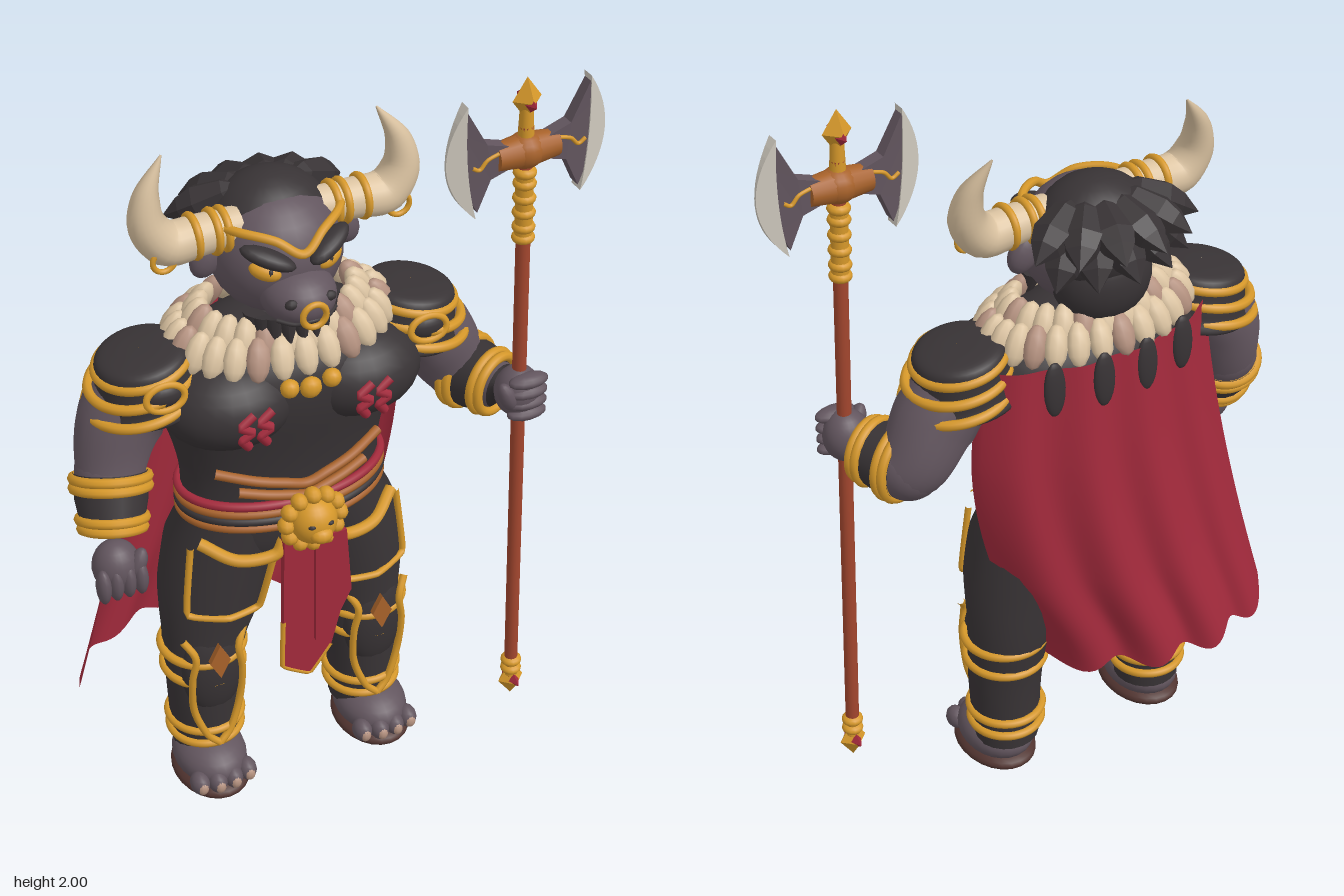
import * as THREE from 'three';
import { ParametricGeometry } from 'three/addons/geometries/ParametricGeometry.js';

const V = (a) => new THREE.Vector3(...a);
const UP = new THREE.Vector3(0, 1, 0);
const mat = (name, color, extra = {}) => Object.assign(new THREE.MeshStandardMaterial({ color, ...extra }), { name });

export function createModel() {
  const skin = mat('skin', 0x62555e), dark = mat('darkArmor', 0x383335), gold = mat('gold', 0xd6982a);
  const copper = mat('copper', 0xa8622a), red = mat('redCloth', 0xa32a3c, { side: THREE.DoubleSide });
  const cream = mat('cream', 0xdcc4a2), rose = mat('roseFur', 0xb4917f), wood = mat('shaft', 0xa2462e);
  const steel = mat('steel', 0xcfc9be), sole = mat('sole', 0x50332f);

  const root = new THREE.Group();
  const body = new THREE.Group();
  body.name = 'body';
  body.position.x = -0.1;
  root.add(body);
  let parent = body;

  const add = (name, geo, m, p = [0, 0, 0], r = [0, 0, 0]) => {
    const o = new THREE.Mesh(geo, m);
    o.name = name;
    o.position.set(...p);
    o.rotation.set(...r);
    parent.add(o);
    return o;
  };
  const ball = (name, m, p, s, r, n = 24) => {
    const o = add(name, new THREE.SphereGeometry(1, n, Math.ceil(n * 0.6)), m, p, r);
    o.scale.set(...s);
    return o;
  };
  const tube = (name, m, pts, r, closed = false, tension = 0.5) => add(name, new THREE.TubeGeometry(
    new THREE.CatmullRomCurve3(pts.map(V), closed, 'catmullrom', tension), pts.length * 8, r, 8, closed), m);
  // Tube whose radius follows a list of values along its path
  const sweep = (name, m, pts, radii, sides = 20) => {
    const c = new THREE.CatmullRomCurve3(pts.map(V)), n = 32;
    const g = new THREE.TubeGeometry(c, n, 1, sides), pos = g.attributes.position, v = new THREE.Vector3();
    for (let i = 0; i < pos.count; i++) {
      const u = Math.floor(i / (sides + 1)) / n, t = c.getUtoTmapping(u) * (radii.length - 1);
      const k = Math.min(Math.floor(t), radii.length - 2), o = c.getPointAt(u);
      v.fromBufferAttribute(pos, i).sub(o).multiplyScalar(THREE.MathUtils.lerp(radii[k], radii[k + 1], t - k)).add(o);
      pos.setXYZ(i, v.x, v.y, v.z);
    }
    return add(name, g, m);
  };
  // Elliptic band around an axis
  const ring = (name, m, p, axis, rx, rz, r) => {
    const pts = Array.from({ length: 16 }, (_, i) => [rx * Math.cos(i * Math.PI / 8), 0, rz * Math.sin(i * Math.PI / 8)]);
    const o = tube(name, m, pts, r, true);
    o.position.set(...p);
    o.quaternion.setFromUnitVectors(UP, V(axis).normalize());
    return o;
  };
  const spike = (name, m, a, b, r) => {
    const A = V(a), B = V(b), o = add(name, new THREE.ConeGeometry(r, A.distanceTo(B), 8), m);
    o.position.copy(A).add(B).multiplyScalar(0.5);
    o.quaternion.setFromUnitVectors(UP, B.sub(A).normalize());
  };
  const plate = (name, m, shape, z, depth) => add(name,
    new THREE.ExtrudeGeometry(shape, { depth, bevelEnabled: false, curveSegments: 16 }), m, [0, 0, z]);
  const vec2 = (pts) => pts.map((q) => new THREE.Vector2(...q));
  const poly = (pts) => new THREE.Shape(vec2(pts));
  // Profiles run from bottom to top so that faces point outwards
  const lathe = (name, m, pts, n, p) => add(name, new THREE.LatheGeometry(new THREE.SplineCurve(vec2(pts)).getPoints(n), 36), m, p);

  // Torso
  lathe('torso', dark, [[0.001, 0.68], [0.16, 0.71], [0.25, 0.78], [0.265, 0.88], [0.265, 1.0], [0.285, 1.1], [0.32, 1.22],
    [0.315, 1.31], [0.25, 1.38], [0.13, 1.44], [0.001, 1.46]], 36).scale.z = 0.58;
  for (const s of [-1, 1]) {
    ball('chestMuscle', dark, [s * 0.165, 1.25, 0.07], [0.175, 0.12, 0.15]);
    for (const k of [-0.022, 0.026]) {
      tube('chestMark', red, [[0.02, 0.05], [-0.016, 0.022], [0.014, 0.0], [-0.014, -0.022], [0.006, -0.055]]
        .map(([x, y]) => [s * 0.155 + k + x, 1.24 + y * 0.85, 0.218 - Math.abs(y) * 0.15]), 0.012, false, 0.1);
    }
  }
  [[-0.055, 1.315, 0.024], [0, 1.303, 0.028], [0.055, 1.315, 0.024]].forEach(([x, y, r]) => ball('neckBead', gold, [x, y, 0.19], [r, r, 0.022], [0, 0, 0], 12));
  for (const [w, y0, y1] of [[0.22, 1.055, 1.0], [0.17, 1.0, 0.965]]) {
    tube('bellyStrap', copper, [-1, -0.6, -0.25, 0, 0.25, 0.6, 1].map((t) =>
      [t * w, y1 + (y0 - y1) * Math.abs(t), 0.167 * Math.sqrt(1 - (t * w / 0.29) ** 2)]), 0.013);
  }

  // Belt and buckle
  [[0.95, red], [0.926, copper], [0.904, dark], [0.882, copper]].forEach(([y, m]) => ring('beltBand', m, [0, y, 0], [0, 1, 0], 0.27, 0.166, 0.012));
  ball('buckle', gold, [0, 0.91, 0.2], [0.062, 0.065, 0.06]);
  for (let i = 0; i < 12; i++) {
    const a = i * Math.PI / 6;
    ball('buckleMane', gold, [Math.cos(a) * 0.073, 0.91 + Math.sin(a) * 0.073, 0.2], [0.022, 0.022, 0.025], [0, 0, 0], 10);
  }
  ball('buckleSnout', gold, [0, 0.895, 0.25], [0.03, 0.022, 0.025], [0, 0, 0], 12);
  for (const s of [-1, 1]) ball('buckleEye', dark, [s * 0.024, 0.925, 0.25], [0.011, 0.006, 0.008], [0, 0, 0], 8);

  // Loincloth with a folded layer and gold hem
  plate('loincloth', red, poly([[-0.08, 0.87], [-0.085, 0.45], [-0.01, 0.4], [0.05, 0.48], [0.085, 0.62], [0.08, 0.87]]), 0.185, 0.02);
  plate('loinclothFold', red, poly([[0, 0.86], [0, 0.52], [0.06, 0.58], [0.1, 0.66], [0.085, 0.86]]), 0.207, 0.012);
  tube('loinclothHem', gold, [[-0.083, 0.6, 0.2], [-0.086, 0.45, 0.2], [-0.01, 0.4, 0.2], [0.05, 0.48, 0.2]], 0.007, false, 0.1);

  // Legs
  for (const s of [-1, 1]) {
    const x = s * 0.232;
    const m = (pts) => pts.map(([a, b, c]) => [s * a, b, c]);
    sweep('leg', dark, m([[0.13, 0.86, 0], [0.17, 0.74, 0], [0.2, 0.62, 0], [0.222, 0.48, 0], [0.232, 0.32, 0.01], [0.232, 0.1, 0.01]]), [0.13, 0.15, 0.14, 0.112, 0.1, 0.09]);
    tube('hipTrim', gold, m([[0.07, 0.85, 0.18], [0.1, 0.815, 0.185], [0.19, 0.81, 0.16], [0.265, 0.845, 0.1]]), 0.016);
    tube('thighPlateTrim', gold, m([[0.09, 0.81, 0.17], [0.12, 0.62, 0.135], [0.21, 0.615, 0.147], [0.305, 0.625, 0.1], [0.285, 0.83, 0.09]]), 0.009, false, 0.15);
    ball('shinGuard', dark, [x, 0.4, 0.075], [0.085, 0.15, 0.05]);
    for (const k of [-1, 1]) {
      tube('shinTrim', gold, [[0.085, 0.53, 0.09], [0.06, 0.48, 0.115], [0.07, 0.4, 0.11], [0.065, 0.29, 0.1], [0.035, 0.2, 0.108], [0, 0.16, 0.115]]
        .map(([a, b, c]) => [x + k * a, b, c]), 0.01);
    }
    plate('kneeGem', copper, poly([[x, 0.41], [x + 0.028, 0.465], [x, 0.52], [x - 0.028, 0.465]]), 0.12, 0.016);
    [[0.445, 0.108], [0.375, 0.104], [0.2, 0.097], [0.155, 0.095]].forEach(([y, r]) => ring('legBand', gold, [x, y, 0.008], [0, 1, 0], r, r, 0.012));
    // Foot
    const fx = s * 0.24;
    ball('foot', skin, [fx, 0.083, 0.05], [0.097, 0.067, 0.125]);
    ball('footSole', sole, [fx, 0.034, 0.055], [0.102, 0.034, 0.138]);
    for (let i = 0; i < 4; i++) {
      const o = (i - 1.5) * 0.045, z = 0.165 - Math.abs(i - 1.5) * 0.012;
      ball('toe', skin, [fx + o, 0.07, z], [0.027, 0.032, 0.034], [0, 0, 0], 12);
      ball('toenail', rose, [fx + o, 0.068, z + 0.022], [0.016, 0.02, 0.015], [0, 0, 0], 10);
    }
  }

  // Fur collar
  for (let row = 0; row < 2; row++) {
    const n = 28 - row * 4;
    for (let i = 0; i < n; i++) {
      const a = (i + row / 2) * 2 * Math.PI / n, sx = Math.sin(a), cz = Math.cos(a), k = row ? 0.8 : 1;
      ball('collarTuft', i % 4 === 2 ? rose : cream, [0.265 * k * sx, 1.4 + row * 0.035 - 0.015 * Math.max(0, cz), 0.167 * k * cz - 0.005],
        [0.031, 0.056, 0.024], [-0.5 * cz, 0, 0.5 * sx], 10);
    }
  }

  // Head
  ball('head', skin, [0, 1.59, -0.01], [0.165, 0.16, 0.155]);
  ball('scalp', dark, [0, 1.625, -0.045], [0.158, 0.147, 0.14]);
  ball('nape', dark, [0, 1.52, -0.08], [0.13, 0.12, 0.1]);
  ball('snout', skin, [0, 1.53, 0.115], [0.092, 0.07, 0.1]);
  ball('chin', skin, [0, 1.485, 0.09], [0.07, 0.045, 0.08]);
  tube('mouth', dark, [[-0.075, 1.5, 0.165], [-0.04, 1.495, 0.192], [0, 1.502, 0.205], [0.04, 1.495, 0.192], [0.075, 1.5, 0.165]], 0.006);
  add('noseRing', new THREE.TorusGeometry(0.03, 0.008, 8, 24), gold, [0, 1.52, 0.212]);
  tube('diadem', gold, [[-0.165, 1.69, 0], [-0.125, 1.7, 0.075], [-0.06, 1.69, 0.128], [0, 1.655, 0.155], [0.06, 1.69, 0.128], [0.125, 1.7, 0.075], [0.165, 1.69, 0]], 0.011);
  for (const s of [-1, 1]) {
    ball('eye', gold, [s * 0.082, 1.608, 0.117], [0.04, 0.022, 0.022], [0, s * 0.5, s * 0.3], 16);
    ball('pupil', dark, [s * 0.076, 1.608, 0.136], [0.008, 0.014, 0.006], [0, 0, 0], 10);
    ball('brow', dark, [s * 0.078, 1.647, 0.125], [0.07, 0.021, 0.03], [0, s * 0.5, s * 0.35], 16);
    ball('nostril', dark, [s * 0.048, 1.55, 0.19], [0.018, 0.013, 0.012], [0, 0, 0], 10);
    ball('ear', skin, [s * 0.175, 1.6, -0.01], [0.04, 0.055, 0.03], [0, 0, s * 0.5], 16);
    sweep('horn', cream, [[0.1, 1.68, 0.005], [0.2, 1.675, 0.005], [0.28, 1.675, 0.005], [0.322, 1.73, 0], [0.318, 1.8, -0.01], [0.27, 1.885, -0.03]]
      .map(([a, b, c]) => [s * a, b, c]), [0.045, 0.05, 0.055, 0.047, 0.032, 0.002]);
    [0.14, 0.165, 0.215].forEach((o) => ring('hornBand', gold, [s * o, 1.676, 0.005], [1, 0, 0], 0.049, 0.049, 0.01));
    add('hornRing', new THREE.TorusGeometry(0.028, 0.007, 8, 20), gold, [s * 0.3, 1.65, 0.04]);
  }
  for (let i = 0; i < 9; i++) {
    const a = (i - 4) * 0.32, sx = Math.sin(a), cz = Math.cos(a);
    spike('beardTuft', dark, [0.1 * sx, 1.475, 0.06 + 0.07 * cz], [0.115 * sx, 1.39, 0.06 + 0.1 * cz], 0.028);
  }
  // Hair: two rows of broad faceted locks fanned over the back of the head
  const lockGeo = new THREE.LatheGeometry(vec2([[0.001, -1], [0.7, -0.6], [1, 0.1], [0.75, 0.5], [0.001, 1]]), 6).rotateX(Math.PI / 2).toNonIndexed();
  lockGeo.computeVertexNormals();
  for (let row = 0; row < 2; row++) {
    for (let i = 0; i < 6 - row; i++) {
      const a = (i - 2.5 + row / 2) * 0.44, sx = Math.sin(a), cz = Math.cos(a);
      const lock = add('hairLock', lockGeo, dark, [0.165 * sx, 1.695 - row * 0.055, -0.045 - (0.13 - row * 0.015) * cz]);
      lock.rotation.set(0.45 + row * 0.25, Math.PI - a, 0, 'YXZ');
      lock.scale.set(0.054, 0.042, 0.105);
    }
  }

  // Arms: shoulder, upper, elbow, wrist, hand
  parent = root;
  const arms = [
    [-1, [[-0.41, 1.33, 0], [-0.51, 1.22, -0.005], [-0.555, 1.08, 0.015], [-0.58, 0.94, 0.08]], [-0.59, 0.87, 0.115]],
    [1, [[0.21, 1.33, 0], [0.325, 1.22, -0.005], [0.4, 1.1, 0.005], [0.455, 1.1, 0.13]], [0.475, 1.115, 0.18]],
  ];
  for (const [s, p, h] of arms) {
    sweep('arm', skin, p, [0.09, 0.108, 0.085, 0.06]);
    const E = V(p[2]), D = V(p[3]).sub(E), at = (t) => E.clone().addScaledVector(D, t).toArray();
    ball('elbow', skin, p[2], [0.088, 0.088, 0.088]);
    sweep('forearmGuard', dark, [at(0), at(0.45), at(0.9), at(0.95)], [0.092, 0.09, 0.075, 0.001]);
    [[0.1, 0.092], [0.25, 0.092], [0.75, 0.081], [0.9, 0.076]].forEach(([t, r]) => ring('forearmBand', gold, at(t), D.toArray(), r, r, 0.013));
    // Layered shoulder guard
    const sx = -0.1 + s * 0.345;
    lathe('shoulderGuard', dark, [[0.001, -0.06], [0.132, -0.06], [0.13, -0.02], [0.12, 0.03], [0.108, 0.075], [0.06, 0.088], [0.001, 0.09]], 36, [sx, 1.315, 0]).rotation.z = -s * 0.15;
    [[0.01, 1.365, 0.112], [0.016, 1.322, 0.126], [0.018, 1.275, 0.134]].forEach(([o, y, r]) => ring('shoulderBand', gold, [sx + s * o, y, 0], [s * 0.18, 1, 0], r, r, 0.013));
    ball('shoulderMedallion', dark, [sx, 1.335, 0.12], [0.045, 0.03, 0.02], [0, 0, 0], 16);
    ring('medallionRim', gold, [sx, 1.335, 0.128], [0, 0.2, 1], 0.048, 0.032, 0.009);
    // Fist
    ball('fist', skin, h, [0.06, 0.07, 0.058]);
    for (let i = 0; i < 4; i++) {
      const o = (i - 1.5) * 0.032;
      if (s < 0) ball('finger', skin, [h[0] + o, h[1] - 0.025, h[2] + 0.04], [0.019, 0.05, 0.026], [0, 0, 0], 12);
      else ball('finger', skin, [h[0] + 0.01, h[1] + o, h[2] + 0.035], [0.055, 0.019, 0.028], [0, 0, 0], 12);
    }
    ball('thumb', skin, [h[0] - s * 0.045, h[1] + 0.01, h[2] + 0.03], [0.022, 0.045, 0.025], [0, 0, s * 0.4], 12);
  }

  // Cape, swept towards the right side
  const leftEdge = new THREE.SplineCurve(vec2([[0.24, 0], [0.26, 0.3], [0.2, 0.7], [0.07, 1]]));
  add('cape', new ParametricGeometry((u, v, t) => {
    const x0 = -0.42 - 0.24 * v ** 1.3, x1 = leftEdge.getPoint(v).x;
    const bow = Math.sin(Math.PI * u) ** 0.6, fold = Math.sin(u * 26 + v) * 0.018 * (0.35 + 0.65 * v);
    t.set(x0 + (x1 - x0) * u, 1.36 - (0.97 + 0.04 * (1 - u)) * v + 0.02 * v * Math.sin(u * 26), -0.07 + 0.01 * v - (0.125 + 0.065 * v) * bow + fold);
  }, 60, 24), red);
  for (let i = 0; i < 4; i++) {
    const x = -0.28 + i * 0.125, bow = Math.sin(Math.PI * (x + 0.42) / 0.67) ** 0.6;
    ball('capeTab', dark, [x, 1.31, -0.073 - 0.13 * bow], [0.03, 0.075, 0.014], [0.05, 0, 0], 16);
  }

  // Double axe
  const axe = parent = new THREE.Group();
  axe.name = 'axe';
  axe.position.set(0.517, 0, 0.18);
  axe.rotation.z = 0.034;
  root.add(axe);
  add('axeShaft', new THREE.CylinderGeometry(0.018, 0.018, 1.75, 16), wood, [0, 1.0, 0]);
  [1.57, 1.6, 1.64, 1.68, 1.72, 1.75, 0.19, 0.16].forEach((y) => ball('shaftBead', gold, [0, y, 0], [0.029, 0.017, 0.029], [0, 0, 0], 14));
  add('shaftSleeve', new THREE.CylinderGeometry(0.022, 0.022, 0.2, 14), gold, [0, 1.66, 0]);
  for (const [y, d] of [[1.94, 1], [0.125, -1]]) {
    add('finialStem', new THREE.CylinderGeometry(0.016, 0.02, 0.09, 12), gold, [0, y - d * 0.06, 0]);
    add('finial', new THREE.OctahedronGeometry(1), gold, [0, y + d * 0.005, 0]).scale.set(0.038, 0.056, 0.036);
    add('finialGem', new THREE.OctahedronGeometry(1), red, [0, y, 0]).scale.set(0.025, 0.037, 0.047);
  }
  ball('axeHub', copper, [0, 1.81, 0], [0.05, 0.045, 0.045], [0, 0, 0], 16);
  // Thin the blade towards its cutting edge
  const taper = (mesh) => {
    const pos = mesh.geometry.attributes.position;
    mesh.geometry.translate(0, 0, mesh.position.z);
    mesh.position.z = 0;
    for (let i = 0; i < pos.count; i++) pos.setZ(i, pos.getZ(i) * THREE.MathUtils.clamp((0.225 - pos.getX(i)) / 0.08, 0.1, 1));
    mesh.geometry.computeVertexNormals();
  };
  for (const s of [-1, 1]) {
    parent = axe;
    add('hubArm', new THREE.CylinderGeometry(0.033, 0.04, 0.06, 14), copper, [s * 0.05, 1.81, 0], [0, 0, -s * Math.PI / 2]);
    parent = new THREE.Group();
    parent.name = 'axeBlade';
    parent.rotation.y = s > 0 ? 0 : Math.PI;
    axe.add(parent);
    taper(plate('bladePlate', skin, poly([[0.05, 1.84], [0.05, 1.78], [0.1, 1.765], [0.135, 1.685], [0.16, 1.74], [0.175, 1.82], [0.172, 1.9], [0.16, 1.955], [0.11, 1.86]]), -0.017, 0.034));
    const edge = new THREE.Shape();
    edge.moveTo(0.14, 1.67);
    edge.quadraticCurveTo(0.27, 1.8, 0.16, 1.97);
    edge.quadraticCurveTo(0.17, 1.8, 0.14, 1.67);
    taper(plate('bladeEdge', steel, edge, -0.02, 0.04));
    for (const z of [-0.018, 0.018]) tube('bladeTrim', gold, [[0.08, 1.83, z], [0.11, 1.82, z], [0.13, 1.8, z], [0.15, 1.81, z]], 0.005);
  }
  return root;
}
